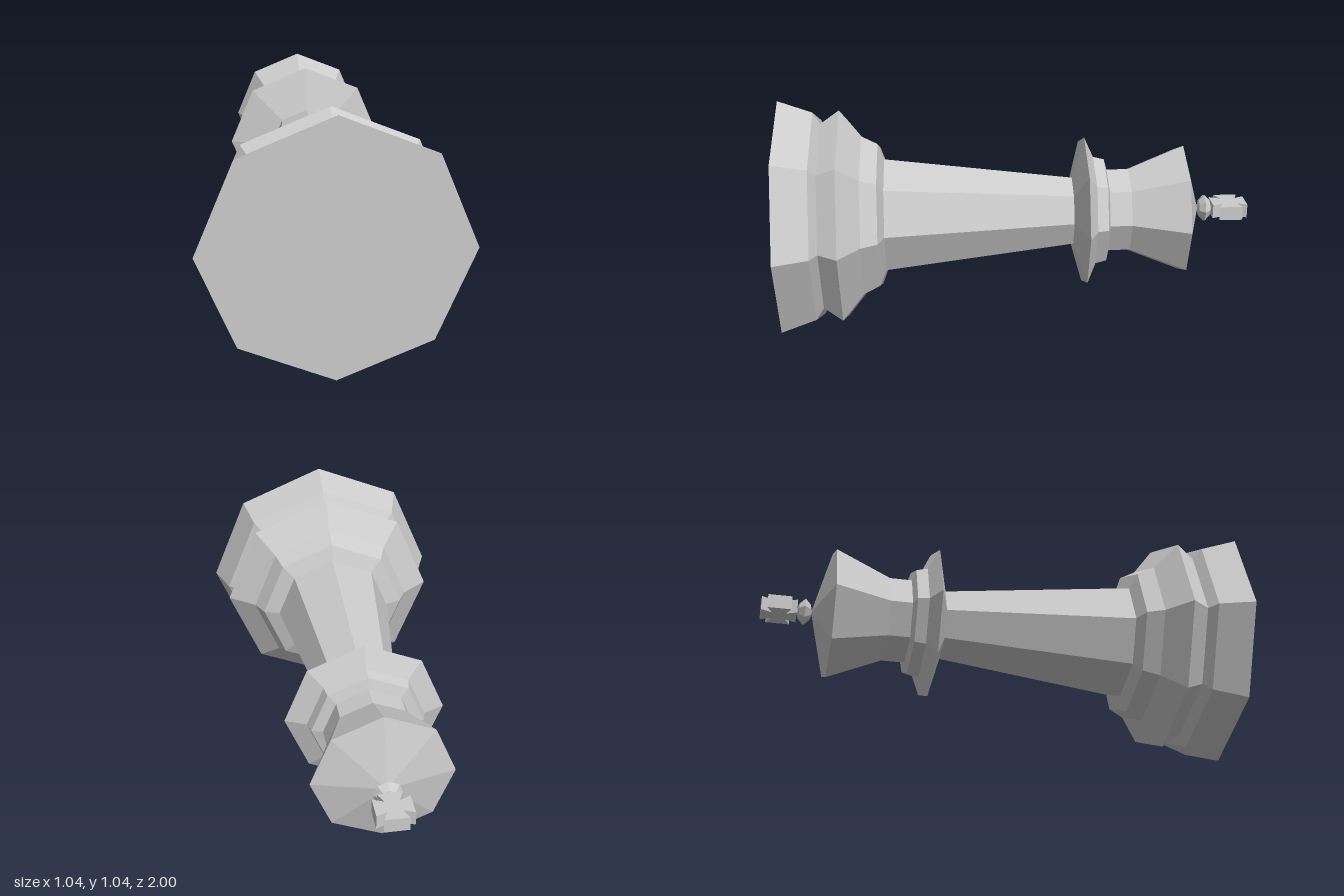
import * as THREE from 'three';

const material = new THREE.MeshStandardMaterial({ color: 0xcccccc, flatShading: true });

// Eight-sided turned part; each point is [radius, height along the piece]
function turned(name, profile) {
  const points = profile.map(([r, h]) => new THREE.Vector2(r, h));
  const mesh = new THREE.Mesh(new THREE.LatheGeometry(points, 8), material);
  mesh.name = name;
  return mesh;
}

// Flared cross: one quarter-turn outline repeated for four arms
function cross() {
  const arm = [[0.03, 0.03], [0.05, 0.075], [-0.05, 0.075]];
  const outline = [];
  for (let i = 0; i < 4; i++) {
    const a = (i * Math.PI) / 2;
    for (const [x, y] of arm) {
      outline.push(new THREE.Vector2(x * Math.cos(a) - y * Math.sin(a), x * Math.sin(a) + y * Math.cos(a)));
    }
  }
  const geometry = new THREE.ExtrudeGeometry(new THREE.Shape(outline), { depth: 0.06, bevelEnabled: false });
  geometry.translate(0, 0.925, -0.03);
  const mesh = new THREE.Mesh(geometry, material);
  mesh.name = 'cross';
  return mesh;
}

export function createModel() {
  const model = new THREE.Group();
  model.name = 'chessKing';

  // The piece is built upright, then laid on its side with its foot facing the front
  const piece = new THREE.Group();
  piece.name = 'lyingPiece';
  piece.add(
    turned('base', [
      [0, -1], [0.52, -1], [0.468, -0.857], [0.417, -0.828], [0.475, -0.747],
      [0.36, -0.66], [0.324, -0.592], [0.255, -0.567],
    ]),
    turned('shaft', [[0.255, -0.567], [0.154, 0.235]]),
    turned('collar', [
      [0.154, 0.235], [0.335, 0.285], [0.247, 0.325], [0.235, 0.372], [0.188, 0.385],
    ]),
    turned('head', [[0.188, 0.385], [0.188, 0.478], [0.289, 0.714], [0, 0.79]]),
    turned('finial', [[0, 0.785], [0.035, 0.795], [0.06, 0.818], [0.035, 0.842], [0, 0.852]]),
    cross(),
  );
  piece.rotation.x = -Math.PI / 2;
  piece.position.y = 0.52;
  model.add(piece);
  return model;
}
